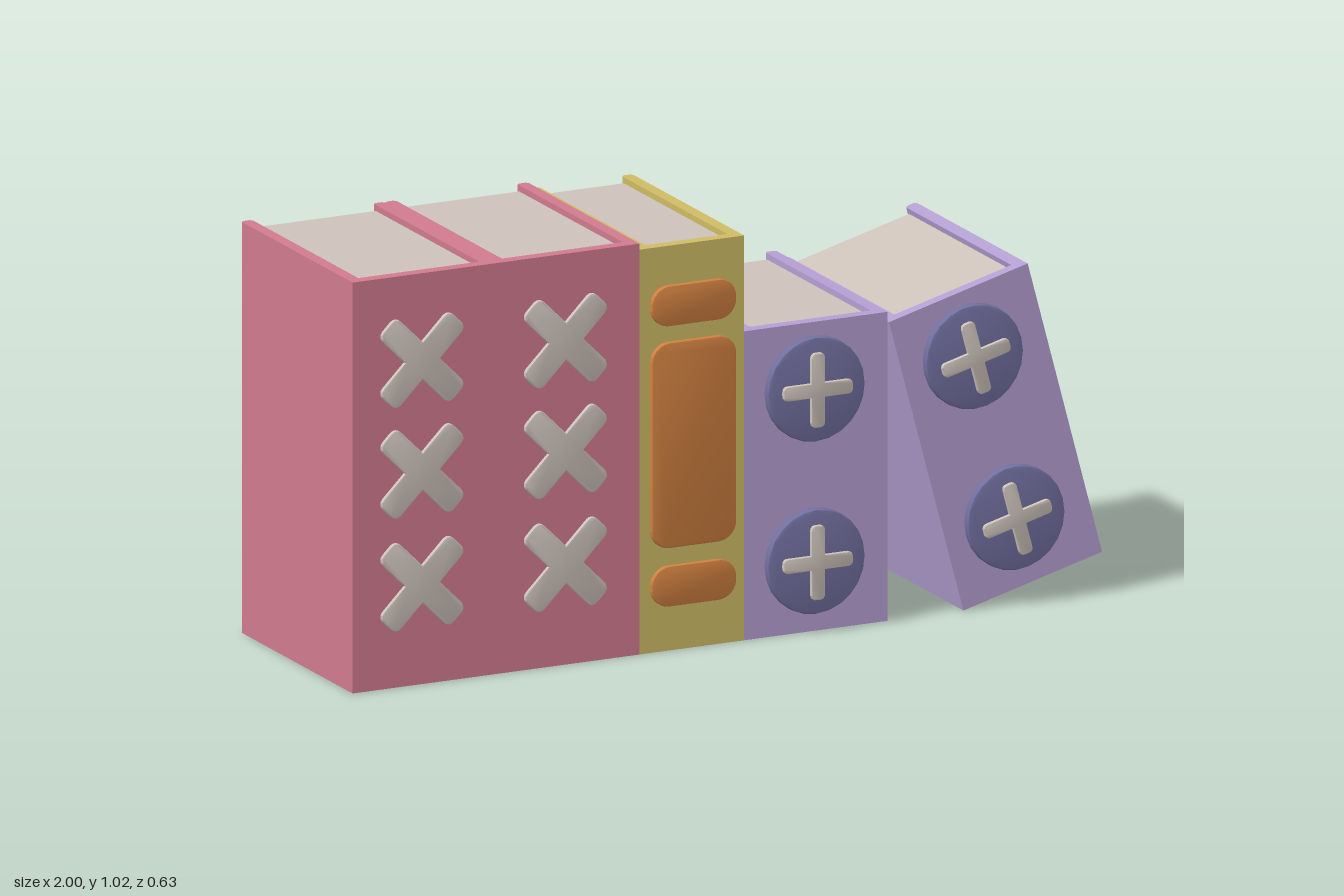
import * as THREE from 'three';
import { toCreasedNormals } from 'three/addons/utils/BufferGeometryUtils.js';

const mat = (name, color) => {
  const m = new THREE.MeshStandardMaterial({ color });
  m.name = name;
  return m;
};

const FRONT = 0.285, BACK = -0.315, BOARD = 0.03, INSET = 0.015;

// Three-sided cover: spine plus two boards, extruded upwards
function coverGeometry(w, h) {
  const c = 0.007, t = BOARD, f = -FRONT, b = -BACK;
  const shape = new THREE.Shape([
    [0, f], [w, f], [w, b - c], [w - c, b], [w - t + c, b], [w - t, b - c],
    [w - t, f + t], [t, f + t], [t, b - c], [t - c, b], [c, b], [0, b - c],
  ].map(([x, y]) => new THREE.Vector2(x, y)));
  return new THREE.ExtrudeGeometry(shape, { depth: h, bevelEnabled: false }).rotateX(-Math.PI / 2);
}

// Raised ornament with softened front edges; its back sits at z = 0
function raised(shape, thickness, bevel = 0.004) {
  const geo = new THREE.ExtrudeGeometry(shape, {
    depth: thickness - bevel, bevelThickness: bevel, bevelSize: bevel,
    bevelOffset: -bevel, bevelSegments: 2, curveSegments: 12,
  });
  return toCreasedNormals(geo, 0.6);
}

// Plus outline with rounded arm ends
function plusShape(length, width, r) {
  const L = length / 2, w = width / 2;
  const s = new THREE.Shape();
  for (let i = 0; i < 4; i++) {
    const a = i * Math.PI / 2;
    const p = (x, y) => [x * Math.cos(a) - y * Math.sin(a), x * Math.sin(a) + y * Math.cos(a)];
    if (i === 0) s.moveTo(...p(w, -w)); else s.lineTo(...p(w, -w));
    s.lineTo(...p(L - r, -w));
    s.quadraticCurveTo(...p(L, -w), ...p(L, -w + r));
    s.lineTo(...p(L, w - r));
    s.quadraticCurveTo(...p(L, w), ...p(L - r, w));
  }
  s.closePath();
  return s;
}

// Rounded panel centred on the origin
function panelShape(w, h, r) {
  const x = w / 2 - r, y = h / 2 - r;
  const s = new THREE.Shape();
  s.absarc(x, y, r, 0, Math.PI / 2);
  s.absarc(-x, y, r, Math.PI / 2, Math.PI);
  s.absarc(-x, -y, r, Math.PI, Math.PI * 1.5);
  s.absarc(x, -y, r, Math.PI * 1.5, Math.PI * 2);
  s.closePath();
  return s;
}

export function createModel() {
  const red = mat('rose cover', 0xd07a8e);
  const yellow = mat('mustard cover', 0xcebb65);
  const purple = mat('lilac cover', 0xb49ed2);
  const paper = mat('paper', 0xcdc2ba);
  const orange = mat('orange panel', 0xd08040);
  const blue = mat('slate blue disc', 0x7270a0);

  const model = new THREE.Group();
  model.name = 'bookRow';

  const add = (parent, name, geo, material, x = 0, y = 0, z = 0) => {
    const mesh = new THREE.Mesh(geo, material);
    mesh.name = name;
    mesh.position.set(x, y, z);
    parent.add(mesh);
    return mesh;
  };

  // Book with its lower left corner at the group's origin
  const book = (name, x, w, h, cover) => {
    const g = new THREE.Group();
    g.name = name;
    g.position.x = x;
    add(g, 'cover', coverGeometry(w, h), cover);
    const zBack = BACK + INSET, zFront = FRONT - BOARD;
    add(g, 'pages', new THREE.BoxGeometry(w - 2 * BOARD, h - 2 * INSET, zFront - zBack), paper,
      w / 2, h / 2, (zBack + zFront) / 2);
    model.add(g);
    return g;
  };

  // Two rose books with three diagonal crosses each
  const W = 0.383;
  const bigCross = raised(plusShape(0.265, 0.066, 0.022), 0.01).rotateZ(Math.PI / 4);
  [-1, -0.617].forEach((x, i) => {
    const g = book(`roseBook${i + 1}`, x, W, 1.02, red);
    for (const y of [0.25, 0.53, 0.805]) add(g, 'spineCross', bigCross, paper, 0.183, y, FRONT);
  });

  // Mustard book with one tall and two short panels
  const mustard = book('mustardBook', -0.234, 0.279, 1.005, yellow);
  for (const [y, h] of [[0.162, 0.1], [0.512, 0.51], [0.858, 0.1]]) {
    add(mustard, 'spinePanel', raised(panelShape(0.226, h, 0.048), 0.013), orange, 0.14, y, FRONT);
  }

  // Two lilac books with round studs, the second leaning on the first
  const circle = new THREE.Shape().absarc(0, 0, 0.13, 0, Math.PI * 2);
  const disc = raised(circle, 0.02, 0.006);
  const smallCross = raised(plusShape(0.185, 0.036, 0.014), 0.01, 0.003);
  const lilac = ['uprightLilacBook', 'leaningLilacBook'].map((name) => {
    const g = book(name, 0.045, W, 0.767, purple);
    for (const y of [0.176, 0.604]) {
      add(g, 'spineDisc', disc, blue, 0.184, y, FRONT);
      add(g, 'discCross', smallCross, paper, 0.184, y, FRONT + 0.02);
    }
    return g;
  });
  lilac[1].position.x = 0.63;
  lilac[1].rotation.z = THREE.MathUtils.degToRad(15);

  return model;
}
